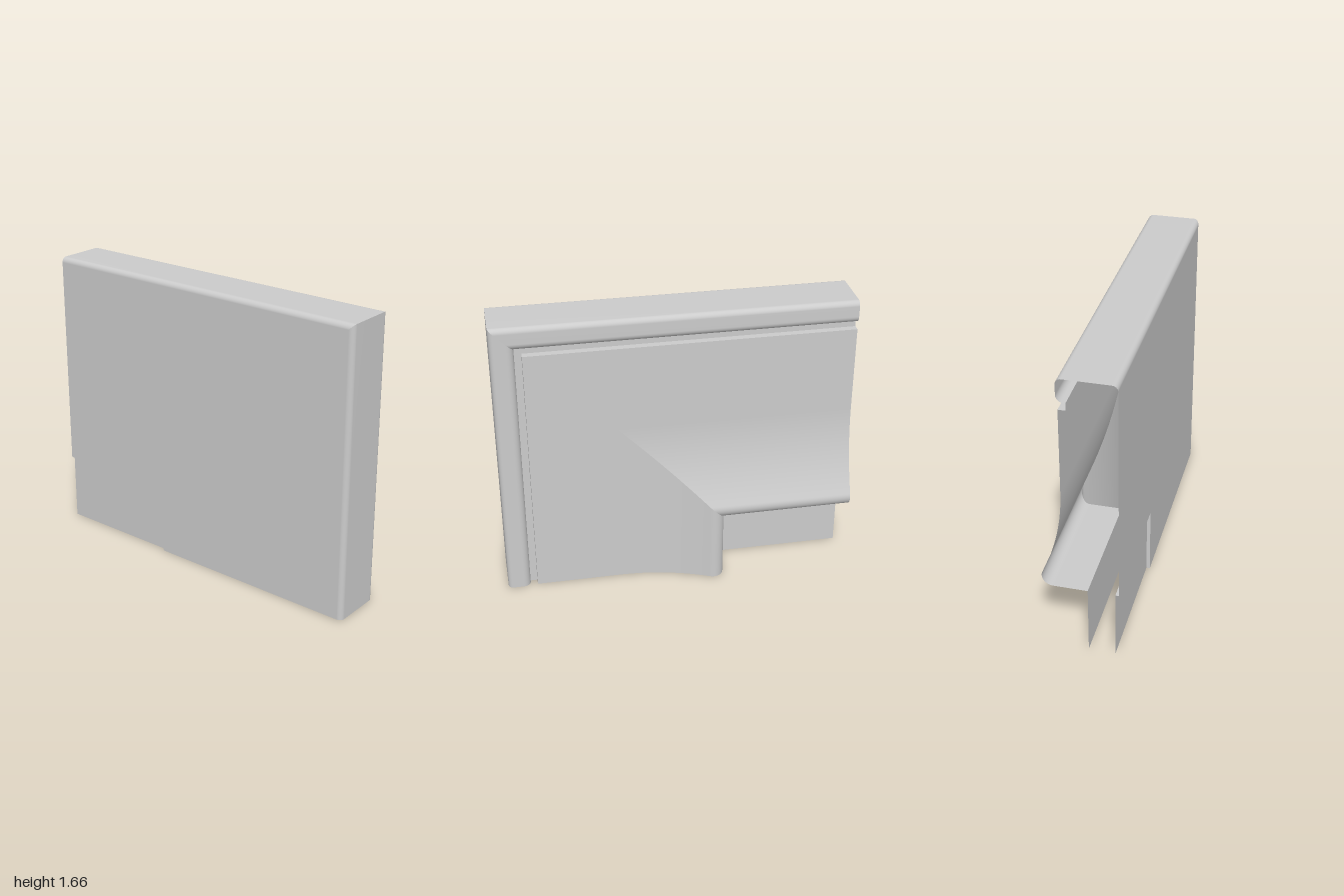
import * as THREE from 'three';

const TOP = 1.66, FRONT = 1, BACK = -1;
const INNER = 1.26; // inset at which the recess begins

const material = new THREE.MeshStandardMaterial({ color: 0xcccccc, side: THREE.DoubleSide });

// Arc of [x, inset] points
function arc(cx, cd, r, a0, a1, n) {
  const pts = [];
  for (let i = 0; i <= n; i++) {
    const a = a0 + (a1 - a0) * i / n;
    pts.push([cx + r * Math.cos(a), cd + r * Math.sin(a)]);
  }
  return pts;
}

// Sweep a profile of [x, inset] along the top edge and, mitred, down the front edge
function sweep(name, profile) {
  const group = new THREE.Group();
  group.name = name;
  const arms = {
    TopArm: [(x, d) => [x, TOP - d, BACK], (x, d) => [x, TOP - d, FRONT - d]],
    FrontArm: [(x, d) => [x, TOP - d, FRONT - d], (x, d) => [x, 0, FRONT - d]],
  };
  for (const [arm, [start, end]] of Object.entries(arms)) {
    const pos = [], index = [];
    profile.forEach(([x, d], i) => {
      pos.push(...start(x, d), ...end(x, d));
      if (i) {
        const k = 2 * i - 2;
        index.push(k, k + 1, k + 2, k + 1, k + 3, k + 2);
      }
    });
    const geo = new THREE.BufferGeometry();
    geo.setAttribute('position', new THREE.Float32BufferAttribute(pos, 3));
    geo.setIndex(index);
    geo.computeVertexNormals();
    const mesh = new THREE.Mesh(geo, material);
    mesh.name = name + arm;
    group.add(mesh);
  }
  return group;
}

// Flat sheet filling the recessed lower corner
function recessSheet(name, x, facing) {
  const h = TOP - INNER, w = FRONT - INNER - BACK;
  const mesh = new THREE.Mesh(new THREE.PlaneGeometry(w, h), material);
  mesh.name = name;
  mesh.rotation.y = facing * Math.PI / 2;
  mesh.position.set(x, h / 2, BACK + w / 2);
  return mesh;
}

export function createModel() {
  const model = new THREE.Group();
  model.name = 'corneredPanelShell';
  const P = Math.PI;

  // Back sheet, rounded outer rim and front lip
  model.add(sweep('backStep', [[-0.188, INNER], [-0.208, INNER]]));
  model.add(sweep('outerShell', [
    [-0.208, INNER],
    ...arc(-0.178, 0.03, 0.03, P, 1.5 * P, 8),
    ...arc(0.07, 0.03, 0.03, -P / 2, 0, 8),
    ...arc(0.06, 0.09, 0.04, 0, P / 2, 8),
    [0.05, 0.13],
  ]));

  // Groove between lip and raised panel
  model.add(sweep('grooveFloor', [[0.05, 0.13], [0.05, 0.17]]));
  model.add(sweep('grooveWall', [[0.05, 0.17], [0.09, 0.17]]));

  // Raised panel: flat, concave flare, rounded crest, return into the recess
  const R = 1.245, flare = 0.4266;
  model.add(sweep('frontPanel', [
    [0.09, 0.17],
    ...arc(0.09 + R, 0.66, R, P, P - flare, 20),
    ...arc(0.147, 1.20, 0.06, -flare, P / 2, 14).slice(1),
    [-0.04, INNER],
  ]));

  // Recessed sheets
  model.add(recessSheet('frontRecessSheet', -0.04, 1));
  model.add(recessSheet('backRecessSheet', -0.188, -1));
  return model;
}
